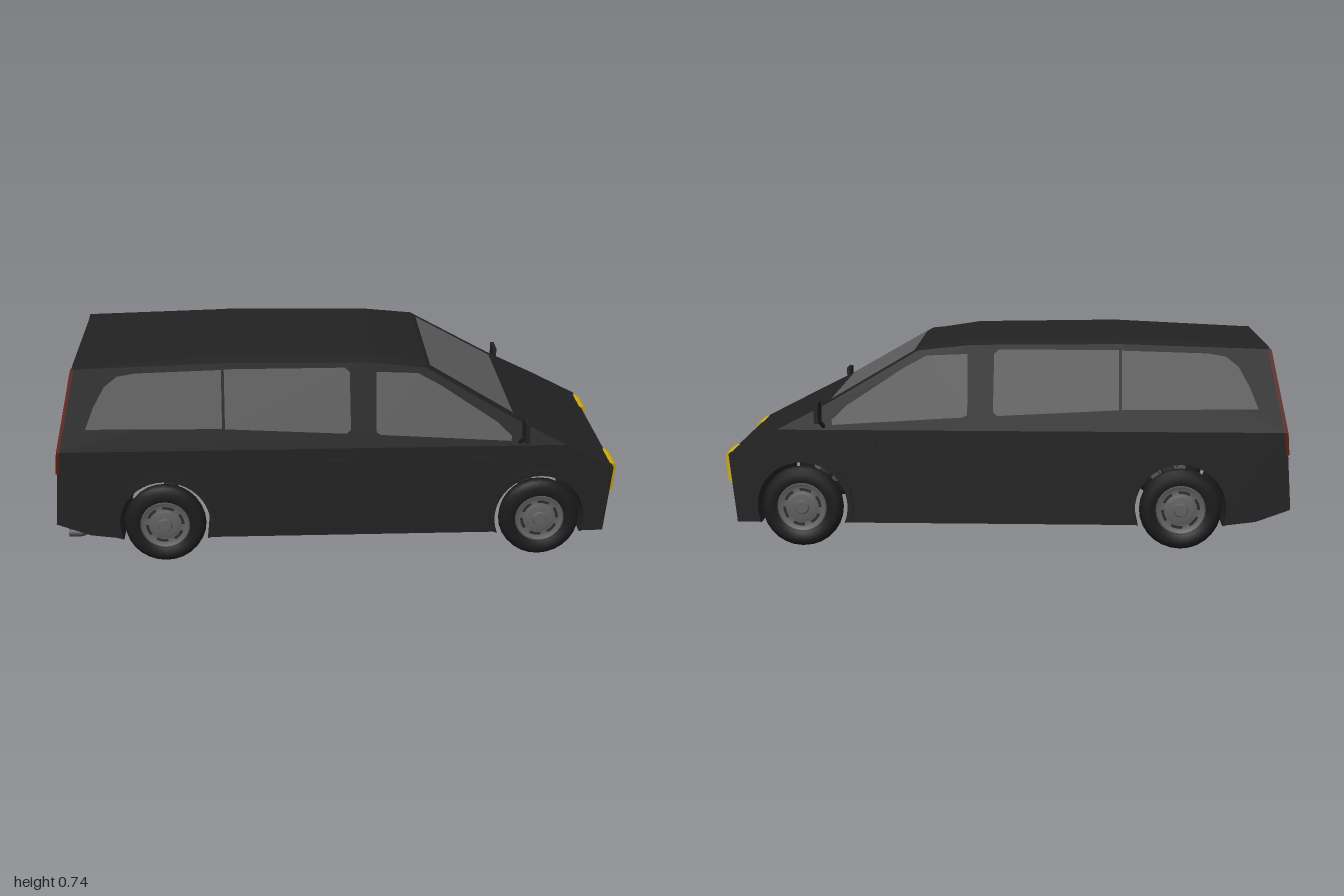
import * as THREE from 'three';

const mat = (name, color, side = THREE.FrontSide) => {
  const m = new THREE.MeshStandardMaterial({ color, side });
  m.name = name;
  return m;
};

// Half width of the cabin at height y: the sides lean in above the belt line
const BELT = 0.42, HALF = 0.38;
const halfWidth = y => HALF - 0.065 * Math.max(0, y - BELT) / 0.3;
// Tailgate x at height y
const rearX = y => y < BELT ? -0.98 - 0.0727 * (BELT - y) : -0.98 + 0.2105 * (y - BELT);

// Flat-shaded sheet through rows of points
function sheet(rows) {
  const p = [];
  for (let i = 0; i < rows.length - 1; i++) {
    for (let j = 0; j < rows[i].length - 1; j++) {
      const a = rows[i][j], b = rows[i][j + 1], c = rows[i + 1][j + 1], d = rows[i + 1][j];
      p.push(...a, ...b, ...c, ...a, ...c, ...d);
    }
  }
  const g = new THREE.BufferGeometry();
  g.setAttribute('position', new THREE.Float32BufferAttribute(p, 3));
  g.computeVertexNormals();
  return g;
}

const shapeOf = pts => new THREE.Shape(pts.map(p => new THREE.Vector2(...p)));

export function createModel() {
  const paint = mat('black paint', 0x222222, THREE.DoubleSide);
  const glass = mat('grey glass', 0x5c5c5c, THREE.DoubleSide);
  const rubber = mat('tyre rubber', 0x1a1a1a);
  const steel = mat('wheel steel', 0x606060);
  const dark = mat('dark trim', 0x2c2c2c, THREE.DoubleSide);
  const amber = mat('yellow lamp', 0xd2ae10);
  const red = mat('red lamp', 0x5c1a08, THREE.DoubleSide);

  const van = new THREE.Group();
  van.name = 'van';
  const add = (name, geo, material, parent = van) => {
    const m = new THREE.Mesh(geo, material);
    m.name = name;
    parent.add(m);
    return m;
  };

  // Lower body with wheel arches cut across the full width
  const axles = [-0.615, 0.72], wheelY = 0.145, archR = 0.16, dip = Math.asin(0.06 / archR);
  const lower = new THREE.Shape();
  lower.moveTo(-1, 0.145);
  lower.lineTo(-0.88, 0.1);
  for (const x of axles) lower.absarc(x, wheelY, archR, Math.PI + dip, -dip, true);
  lower.lineTo(0.955, 0.085);
  lower.lineTo(0.98, 0.33);
  lower.lineTo(0.805, BELT);
  lower.lineTo(-0.98, BELT);
  const lowerGeo = new THREE.ExtrudeGeometry(lower, { depth: HALF * 2, bevelEnabled: false, curveSegments: 12 });
  lowerGeo.translate(0, 0, -HALF);
  add('lowerBody', lowerGeo, paint);

  // Cabin, tapered toward the roof
  const cabin = shapeOf([[-0.98, BELT], [0.805, BELT], [0.62, 0.515], [0.31, 0.695],
    [0.12, 0.715], [-0.4, 0.72], [-0.92, 0.705]]);
  const cabinGeo = new THREE.ExtrudeGeometry(cabin, { depth: 2, bevelEnabled: false });
  cabinGeo.translate(0, 0, -1);
  const cp = cabinGeo.attributes.position;
  for (let i = 0; i < cp.count; i++) cp.setZ(i, cp.getZ(i) * halfWidth(cp.getY(i)));
  cabinGeo.computeVertexNormals();
  add('cabin', cabinGeo, paint);

  // Crowned roof panel
  const roof = [[-0.92, 0.705, 0.709], [-0.4, 0.72, 0.736], [0.12, 0.715, 0.728], [0.31, 0.695, 0.699]];
  add('roof', sheet(roof.map(([x, edge, mid]) => {
    const w = halfWidth(edge);
    return [[x, edge, -w], [x, mid, -0.265], [x, mid, 0.265], [x, edge, w]];
  }).reverse()), paint);

  // Windscreen and tailgate window
  add('windscreen', sheet([
    [[0.622, 0.519, 0.312], [0.622, 0.519, -0.312]],
    [[0.327, 0.690, 0.28], [0.327, 0.690, -0.28]]]), glass);
  add('rearWindow', sheet([0.53, 0.69].map(y =>
    [[rearX(y) - 0.004, y, -0.29], [rearX(y) - 0.004, y, 0.29]])), glass);

  // Side windows
  const windows = {
    rearQuarterWindow: [[-0.88, 0.5], [-0.405, 0.495], [-0.405, 0.698], [-0.7, 0.69], [-0.765, 0.68], [-0.81, 0.645], [-0.85, 0.575]],
    slidingDoorWindow: [[-0.395, 0.494], [0.03, 0.472], [0.045, 0.485], [0.042, 0.685], [0.025, 0.7], [-0.395, 0.7]],
    frontDoorWindow: [[0.135, 0.475], [0.15, 0.466], [0.61, 0.438], [0.612, 0.455], [0.56, 0.505], [0.36, 0.635], [0.28, 0.678], [0.135, 0.684]],
  };

  for (const s of [1, -1]) {
    const side = new THREE.Group();
    side.name = s > 0 ? 'leftSide' : 'rightSide';
    van.add(side);

    for (const [name, pts] of Object.entries(windows)) {
      const g = new THREE.ShapeGeometry(shapeOf(pts));
      const p = g.attributes.position;
      for (let i = 0; i < p.count; i++) p.setZ(i, s * (halfWidth(p.getY(i)) + 0.003));
      if (s < 0) g.index.array.reverse();
      g.computeVertexNormals();
      add(name, g, glass, side);
    }

    // Door handles
    for (const x of [-0.007, 0.5]) {
      const handle = add('doorHandle', new THREE.BoxGeometry(0.09, 0.016, 0.014), paint, side);
      handle.position.set(x, 0.373, s * 0.388);
      handle.rotation.z = -0.06;
    }

    // Door mirror on a slanted arm
    add('doorMirror', new THREE.BoxGeometry(0.014, 0.07, 0.08), paint, side)
      .position.set(0.655, 0.49, s * 0.409);
    const arm = new THREE.LineCurve3(new THREE.Vector3(0.64, 0.43, s * 0.372), new THREE.Vector3(0.655, 0.462, s * 0.405));
    add('mirrorArm', new THREE.TubeGeometry(arm, 1, 0.008, 6), paint, side);

    // Headlamp, a block with a chamfered face
    const lampGeo = new THREE.BoxGeometry(0.03, 0.115, 0.13, 2, 1, 1);
    const lp = lampGeo.attributes.position;
    for (let i = 0; i < lp.count; i++) {
      if (lp.getX(i) > 0.01) lp.setXYZ(i, 0.015, lp.getY(i) * 0.84, lp.getZ(i) * 0.86);
    }
    const flatLamp = lampGeo.toNonIndexed();
    flatLamp.computeVertexNormals();
    const lamp = add('headlamp', flatLamp, amber, side);
    lamp.position.set(0.981, 0.275, s * 0.28);
    lamp.rotation.z = -0.08;

    // Tail lamp wrapping round the rear corner
    add('tailLamp', sheet([0.34, BELT, 0.705].map(y => {
      const x = rearX(y) - 0.004, w = halfWidth(y) + 0.003;
      const row = [[x, y, s * 0.3], [x, y, s * w], [x + 0.012, y, s * w]];
      return s > 0 ? row : row.reverse();
    })), red, side);

    for (const x of axles) {
      // Wheel arch lip
      const lip = new THREE.Shape();
      lip.absarc(x, wheelY, 0.18, -0.3, Math.PI + 0.3, false);
      lip.absarc(x, wheelY, archR, Math.PI + dip, -dip, true);
      const lipGeo = new THREE.ExtrudeGeometry(lip, { depth: 0.012, bevelEnabled: false, curveSegments: 12 });
      lipGeo.translate(0, 0, s > 0 ? 0.377 : -0.389);
      add('archLip', lipGeo, paint, side);

      // Wheel: turned about y, then laid over with its outside facing out
      const wheel = new THREE.Group();
      wheel.name = 'wheel';
      wheel.position.set(x, wheelY, s * 0.375);
      wheel.rotation.x = s * Math.PI / 2;
      side.add(wheel);
      const turn = pts => new THREE.LatheGeometry(pts.map(p => new THREE.Vector2(...p)), 28);
      add('tyre', turn([[0.08, -0.03], [0.122, -0.03], [0.14, -0.02], [0.145, 0], [0.14, 0.02], [0.122, 0.03], [0.09, 0.029], [0.084, 0.015]]), rubber, wheel);
      add('rim', turn([[0, -0.022], [0.086, -0.022], [0.089, 0.024], [0.081, 0.028], [0.074, 0.017], [0.05, 0.019], [0.043, 0.026], [0, 0.026]]), steel, wheel);
      add('hubCap', new THREE.CylinderGeometry(0.022, 0.026, 0.008, 12), steel, wheel).position.y = 0.029;
      for (let k = 0; k < 6; k++) {
        const slot = new THREE.RingGeometry(0.058, 0.068, 6, 1, k * Math.PI / 3, 0.65);
        slot.rotateX(-Math.PI / 2);
        add('rimSlot', slot, dark, wheel).position.y = 0.0205;
      }
      add('innerHub', new THREE.CylinderGeometry(0.05, 0.035, 0.07, 14), steel, wheel).position.y = -0.055;
    }
  }

  // Axles
  for (const x of axles) {
    const axle = add('axle', new THREE.CylinderGeometry(0.028, 0.028, 0.62, 12), dark);
    axle.position.set(x, wheelY, 0);
    axle.rotation.x = Math.PI / 2;
  }

  // Exhaust tail pipe
  const pipe = new THREE.CatmullRomCurve3([[-0.895, 0.125], [-0.9, 0.08], [-0.925, 0.06], [-0.975, 0.058]]
    .map(([x, y]) => new THREE.Vector3(x, y, 0.262)));
  add('exhaustPipe', new THREE.TubeGeometry(pipe, 12, 0.017, 10), new THREE.MeshStandardMaterial({ color: 0x505050, side: THREE.DoubleSide }))
    .material.name = 'exhaust metal';

  return van;
}
